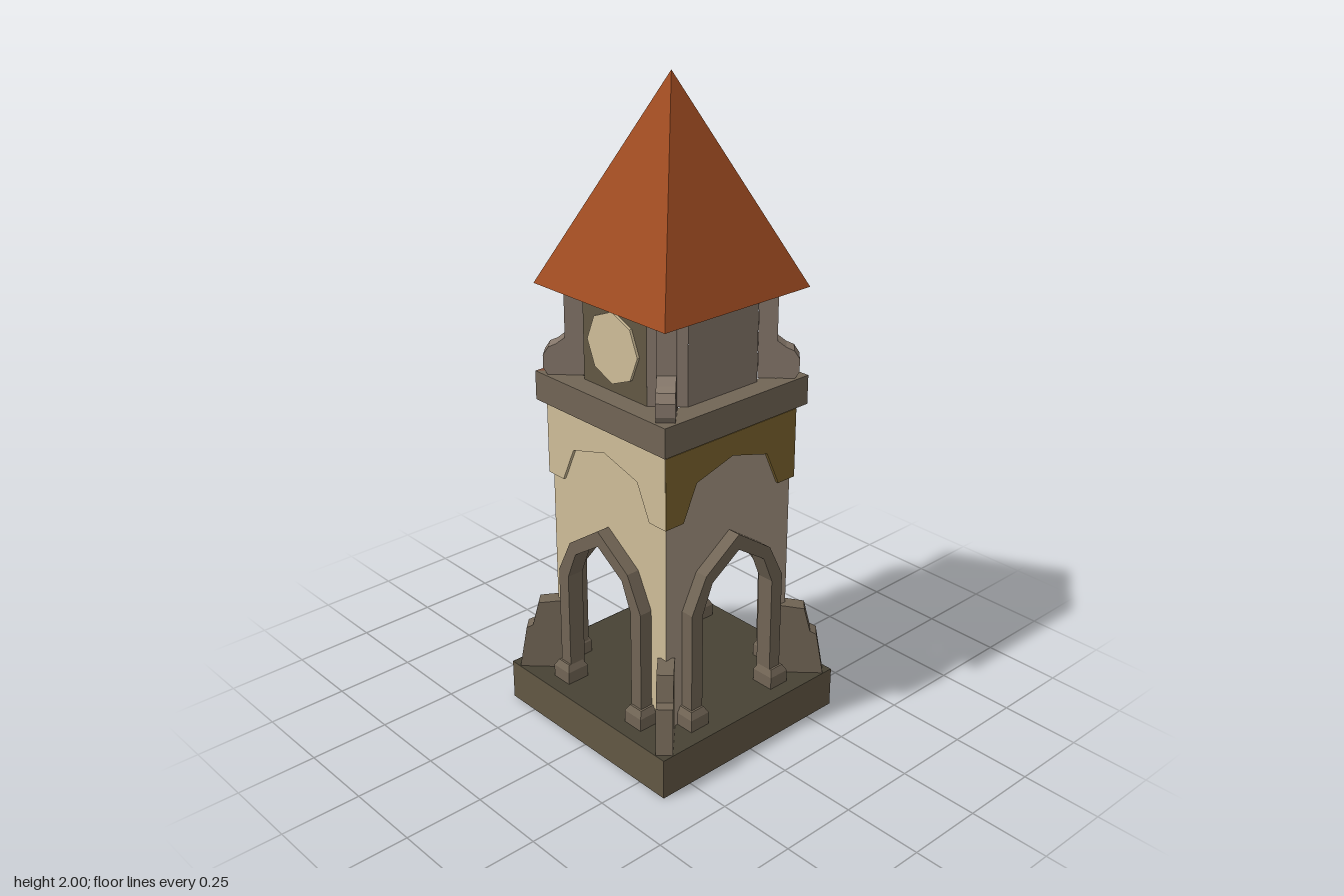
import * as THREE from 'three';

const mat = (name, color) => {
  const m = new THREE.MeshStandardMaterial({ color, side: THREE.DoubleSide, flatShading: true });
  m.name = name;
  return m;
};

export function createModel() {
  const root = new THREE.Group();
  root.name = 'clockTower';
  const M = {
    roof: mat('roof tile', 0xa04c22),
    wall: mat('wall stone', 0xa59481),
    cream: mat('cream plaster', 0xcfbd98),
    gold: mat('ochre trim', 0x7c642e),
    trim: mat('trim stone', 0x716555),
    belfry: mat('belfry stone', 0x85776a),
    base: mat('base stone', 0x625744),
    floor: mat('floor stone', 0x474234),
    red: mat('terracotta', 0x7e4a33),
  };
  const add = (name, geo, material, parent = root) => {
    const m = new THREE.Mesh(geo, material);
    m.name = name;
    parent.add(m);
    return m;
  };
  const shapeOf = pts => new THREE.Shape(pts.map(p => new THREE.Vector2(p[0], p[1])));
  const mirror = half => [...half, ...half.slice().reverse().filter(p => p[0] !== 0).map(p => [-p[0], p[1]])];
  const extrude = (pts, depth, z) =>
    new THREE.ExtrudeGeometry(shapeOf(pts), { depth, bevelEnabled: false }).translate(0, 0, z);
  // a group turned to face one of the sides (0 front, 1 left, 2 back, 3 right)
  const side = (name, i) => {
    const g = new THREE.Group();
    g.name = name;
    g.rotation.y = i * Math.PI / 2;
    root.add(g);
    return g;
  };

  // paved floor slab, open underneath and at the back
  add('floor', new THREE.PlaneGeometry(0.71, 0.71).rotateX(-Math.PI / 2).translate(0, 0.129, 0), M.floor);

  const outer = [[0.185, 0.13], [0.185, 0.51], [0.13, 0.62], [0, 0.71]];
  const inner = [[0.142, 0.13], [0.142, 0.5], [0.105, 0.59], [0, 0.66]];
  const opening = [[0.165, 0.13], [0.165, 0.5], [0.12, 0.6], [0, 0.685]];
  const crown = [[0.2575, 1.02], [0.2575, 0.8], [0.19, 0.8], [0.14, 0.91], [0, 0.95]];
  const vaultRib = mirror([[0.24, 0.5], [0.185, 0.5], [0.13, 0.61], [0, 0.7]]);

  for (let i = 0; i < 4; i++) {
    const g = side('towerSide' + i, i);
    const front = i === 0, back = i === 2;

    // arch moulding and its column feet
    const ring = [...mirror(outer), ...mirror(inner).reverse()];
    add('archMoulding', extrude(ring, 0.055, 0.235), M.trim, g);
    for (const s of [-1, 1]) {
      add('columnFoot', new THREE.BoxGeometry(0.07, 0.04, 0.075).translate(s * 0.167, 0.15, 0.27), M.trim, g);
      const cap = new THREE.CylinderGeometry(0.7 * Math.SQRT1_2, Math.SQRT1_2, 1, 4).rotateY(Math.PI / 4);
      add('columnFootSlope', cap.scale(0.07, 0.02, 0.075).translate(s * 0.167, 0.18, 0.27), M.trim, g);
    }

    // quarter of the groin vault, running from the arch to the diagonals
    const vault = new THREE.PlaneGeometry(1, 1, vaultRib.length - 1, 1);
    const p = vault.attributes.position;
    for (let k = 0; k < p.count; k++) {
      const [x, y] = vaultRib[k % vaultRib.length];
      p.setXYZ(k, x, y, k < vaultRib.length ? 0.24 : Math.abs(x));
    }
    vault.computeVertexNormals();
    add('vault', vault, M.trim, g);

    // belfry corner: chamfer wall, post and rounded foot on the diagonal
    const corner = new THREE.Group();
    corner.name = 'belfryCorner';
    corner.rotation.y = Math.PI / 4;
    g.add(corner);
    add('chamferWall', new THREE.PlaneGeometry(0.1131, 0.27).translate(0, 1.26, 0.2475), M.belfry, corner);
    add('cornerPost', new THREE.BoxGeometry(0.056, 0.27, 0.055).translate(0, 1.26, 0.2765), M.belfry, corner);
    const scroll = [[0.304, 1.125], [0.357, 1.125], [0.369, 1.145], [0.369, 1.185], [0.353, 1.21], [0.33, 1.22], [0.304, 1.24]];
    add('scrollFoot', extrude(scroll, 0.054, -0.027).rotateY(-Math.PI / 2), M.belfry, corner);

    // stepped corner buttress
    const steps = [[0.335, 0.13], [0.474, 0.13], [0.45, 0.27], [0.43, 0.28], [0.41, 0.36], [0.335, 0.37]];
    add('buttress', extrude(steps, 0.05, -0.025).rotateY(-Math.PI / 2), M.trim, corner);

    // ledge top strip
    const w = back ? 0.03 : 0.08;
    const strip = shapeOf([[-0.28, 0.28], [0.28, 0.28], [0.28 - w, 0.28 - w], [w - 0.28, 0.28 - w]]);
    add('ledgeTop', new THREE.ShapeGeometry(strip).rotateX(Math.PI / 2).translate(0, 1.125, 0),
      i === 3 ? M.red : M.trim, g);
    if (back) continue; // the back is open

    // base side, wall with arched opening, crowning panel, ledge and belfry wall
    add('baseSide', new THREE.PlaneGeometry(0.71, 0.13).translate(0, 0.065, 0.355), M.base, g);
    const wall = [[0.248, 1.02], [0.248, 0.13], ...mirror(opening), [-0.248, 0.13], [-0.248, 1.02]];
    add('wall', new THREE.ShapeGeometry(shapeOf(wall)).translate(0, 0, 0.248), front ? M.cream : M.wall, g);
    add('crownPanel', extrude(mirror(crown), 0.0095, 0.249), front ? M.cream : M.gold, g);
    add('ledge', new THREE.PlaneGeometry(0.56, 0.09).translate(0, 1.08, 0.28), M.trim, g);
    add('belfryWall', new THREE.PlaneGeometry(0.27, 0.27).translate(0, 1.26, 0.215), front ? M.base : M.belfry, g);
  }

  // octagonal clock face
  add('clockFace', new THREE.CylinderGeometry(0.107, 0.107, 0.008, 8).rotateX(Math.PI / 2)
    .translate(0, 1.26, 0.22), M.cream);

  // pyramid roof, open underneath
  add('roof', new THREE.ConeGeometry(0.277 * Math.SQRT2, 0.606, 4, 1, true).rotateY(Math.PI / 4)
    .translate(0, 1.697, 0), M.roof);

  return root;
}
